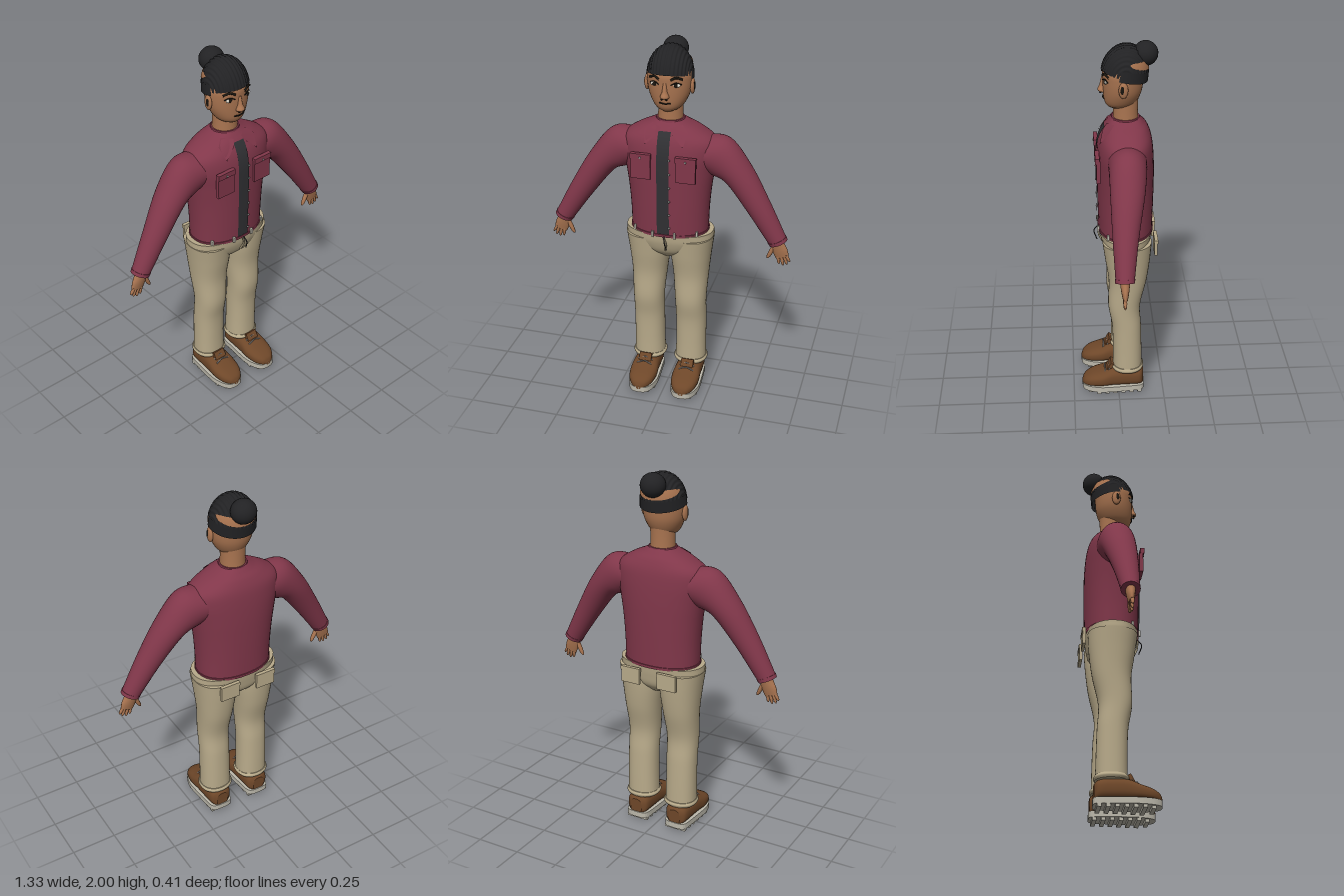
import * as THREE from 'three';

const mat = (name, color) => {
  const m = new THREE.MeshStandardMaterial({ color, side: THREE.DoubleSide });
  m.name = name;
  return m;
};
const M = {
  jacket: mat('jacket red', 0x81374a), trousers: mat('trouser beige', 0xb8aa8a),
  skin: mat('skin', 0xa97450), shoe: mat('shoe brown', 0x6e4729), sole: mat('sole grey', 0xbcb8ab),
  cap: mat('cap black', 0x222224), shirt: mat('shirt charcoal', 0x303033),
  hair: mat('hair black', 0x19150f), eye: mat('eye white', 0xe2dccf), metal: mat('metal grey', 0x8e8b88),
};

// A section is [centre xyz, first half axis xyz, second half axis xyz]
const flat = (y, x0, x1, zf, zb) =>
  [(x0 + x1) / 2, y, (zf + zb) / 2, (x1 - x0) / 2, 0, 0, 0, 0, (zf - zb) / 2];
const round = (y, r, zf, zb) => flat(y, -r, r, zf, zb);

// Smoothly resample sections
function refine(sections, steps = 6) {
  const curves = [0, 3, 6].map(k => new THREE.CatmullRomCurve3(
    sections.map(s => new THREE.Vector3(s[k], s[k + 1], s[k + 2])), false, 'catmullrom', 0.5));
  const n = (sections.length - 1) * steps;
  return Array.from({ length: n + 1 }, (_, i) => curves.flatMap(c => c.getPoint(i / n).toArray()));
}
const power = (v, p) => Math.sign(v) * Math.abs(v) ** (2 / p);

// Closed skin through superelliptic sections
function loft(rings, p = 2, n = 36) {
  const pos = [], idx = [], V = (r, k) => new THREE.Vector3(r[k], r[k + 1], r[k + 2]);
  const addRing = r => {
    for (let i = 0; i < n; i++) {
      const a = i / n * Math.PI * 2, c = power(Math.cos(a), p), s = power(Math.sin(a), p);
      for (let k = 0; k < 3; k++) pos.push(r[k] + r[3 + k] * c + r[6 + k] * s);
    }
  };
  const last = rings.length - 1, mid = last >> 1;
  const dir = V(rings[mid + 1], 0).sub(V(rings[mid], 0));
  const flip = V(rings[mid], 3).cross(V(rings[mid], 6)).dot(dir) > 0;
  const tri = (a, b, c) => flip ? idx.push(a, c, b) : idx.push(a, b, c);
  rings.forEach(addRing);
  for (let j = 0; j < last; j++) for (let i = 0; i < n; i++) {
    const a = j * n + i, b = j * n + (i + 1) % n;
    tri(a, a + n, b); tri(b, a + n, b + n);
  }
  for (const end of [0, last]) {
    const base = pos.length / 3;
    addRing(rings[end]);
    pos.push(...rings[end].slice(0, 3));
    for (let i = 0; i < n; i++) {
      const a = base + i, b = base + (i + 1) % n;
      end ? tri(a, base + n, b) : tri(a, b, base + n);
    }
  }
  const g = new THREE.BufferGeometry();
  g.setAttribute('position', new THREE.Float32BufferAttribute(pos, 3));
  g.setIndex(idx);
  g.computeVertexNormals();
  return g;
}

// Front depth of a lofted body at x, y
function frontZ(rings, x, y, p) {
  let i = 0;
  while (i < rings.length - 2 && rings[i + 1][1] < y) i++;
  const a = rings[i], b = rings[i + 1], t = THREE.MathUtils.clamp((y - a[1]) / (b[1] - a[1]), 0, 1);
  const at = k => a[k] + (b[k] - a[k]) * t;
  return at(2) + at(8) * Math.max(0, 1 - Math.abs(x / at(3)) ** p) ** (1 / p);
}
function warp(g, fn) {
  const q = g.attributes.position, v = new THREE.Vector3();
  for (let i = 0; i < q.count; i++) { v.fromBufferAttribute(q, i); fn(v); q.setXYZ(i, v.x, v.y, v.z); }
  g.computeVertexNormals();
  return g;
}
const shapeOf = pts => new THREE.Shape(pts.map(p => new THREE.Vector2(...p)));

export function createModel() {
  const root = new THREE.Group();
  const add = (name, g, m, x = 0, y = 0, z = 0) => {
    const mesh = new THREE.Mesh(g, m);
    mesh.name = name; mesh.position.set(x, y, z);
    root.add(mesh);
    return mesh;
  };
  const ball = (name, m, x, y, z, rx, ry, rz) =>
    add(name, new THREE.SphereGeometry(1, 24, 16), m, x, y, z).scale.set(rx, ry, rz);
  const box = (name, m, x, y, z, w, h, d) => add(name, new THREE.BoxGeometry(w, h, d), m, x, y, z);
  const tube = (name, m, pts, r) => add(name, new THREE.TubeGeometry(
    new THREE.CatmullRomCurve3(pts.map(p => new THREE.Vector3(...p))), 16, r, 8), m);

  // Jacket body
  const torso = refine([
    round(0.975, 0.208, 0.1, -0.185), round(1.1, 0.212, 0.104, -0.188), round(1.22, 0.222, 0.106, -0.19),
    round(1.33, 0.238, 0.107, -0.19), round(1.43, 0.256, 0.105, -0.185), round(1.5, 0.245, 0.092, -0.175),
    round(1.55, 0.175, 0.068, -0.155), round(1.58, 0.11, 0.045, -0.132), round(1.6, 0.07, 0.028, -0.115)]);
  const P = 2.2, onTorso = off => v => { v.z += frontZ(torso, v.x, v.y, P) + off; };
  add('jacketBody', loft(torso, P, 48), M.jacket);
  add('jacketHem', loft([round(0.97, 0.212, 0.104, -0.189), round(0.985, 0.213, 0.105, -0.19)], P, 48), M.jacket);
  add('neckband', loft([round(1.588, 0.078, 0.034, -0.12), round(1.605, 0.073, 0.03, -0.115)]), M.jacket);
  add('shirtStrip', warp(new THREE.PlaneGeometry(0.066, 0.57, 4, 30).translate(-0.002, 1.275, 0), onTorso(0.006)), M.shirt);
  for (let i = 0; i < 6; i++) {
    const y = 1.03 + i * 0.078;
    ball('button', M.metal, 0.032, y, frontZ(torso, 0.032, y, P) + 0.007, 0.006, 0.006, 0.005);
  }
  for (const x of [-0.17, -0.06, 0.06, 0.17])
    box('beltLoop', M.sole, x, 0.985, frontZ(torso, x, 0.985, P) + 0.008, 0.012, 0.032, 0.012);

  // Trouser seat, fly and drawstring
  add('trouserSeat', loft(refine([
    round(0.815, 0.05, 0.02, -0.12), round(0.86, 0.17, 0.066, -0.16),
    round(0.92, 0.232, 0.09, -0.175), round(0.975, 0.238, 0.098, -0.183)]), 2.3), M.trousers);
  tube('fly', M.trousers, [[0, 0.97, 0.102], [0.012, 0.93, 0.1], [0.004, 0.88, 0.08]], 0.005);
  tube('drawstring', M.shirt, [[0.005, 0.975, 0.105], [0.01, 0.95, 0.125], [0.018, 0.9, 0.11]], 0.003);

  // Neck and head
  add('neck', loft([round(1.57, 0.068, 0.024, -0.11), round(1.64, 0.064, 0.02, -0.105), round(1.72, 0.066, 0.02, -0.108)]), M.skin);
  const head = refine([
    round(1.655, 0.03, 0.035, -0.05), round(1.672, 0.062, 0.056, -0.08), round(1.7, 0.085, 0.068, -0.105),
    round(1.75, 0.107, 0.073, -0.125), round(1.81, 0.117, 0.075, -0.132), round(1.86, 0.115, 0.073, -0.132),
    round(1.92, 0.09, 0.04, -0.11), round(1.95, 0.04, 0, -0.07)]);
  add('head', loft(head), M.skin);
  const face = (x, y) => frontZ(head, x, y, 2);
  add('nose', loft(refine([
    round(1.735, 0.014, 0.075, 0.055), round(1.748, 0.024, 0.1, 0.05),
    round(1.775, 0.014, 0.09, 0.055), round(1.82, 0.009, 0.079, 0.055)]), 2, 16), M.skin);
  tube('mouth', M.hair, [-0.03, -0.012, 0, 0.012, 0.03].map(x => [x, 1.71 + Math.abs(x) * 0.1, face(x, 1.71) + 0.002]), 0.004);

  // Ribbed cap with back opening and hair bun
  const cap = new THREE.Group();
  cap.name = 'cap';
  cap.position.set(0, 1.838, -0.036);
  cap.rotation.x = -0.2;
  cap.scale.set(0.117, 0.148, 0.118);
  root.add(cap);
  const dome = warp(new THREE.SphereGeometry(1, 28, 144, Math.PI / 2, Math.PI).rotateZ(Math.PI / 2),
    v => v.multiplyScalar(1.01 + 0.016 * Math.cos(36 * Math.acos(THREE.MathUtils.clamp(v.x, -1, 1)))));
  const opening = warp(new THREE.PlaneGeometry(2, 2, 32, 8), v => {
    const a = v.x * 1.5, e = 0.5 + v.y * 0.17 * Math.sqrt(Math.max(0, 1 - v.x * v.x));
    v.set(-Math.sin(a) * Math.cos(e), Math.sin(e), -Math.cos(a) * Math.cos(e)).multiplyScalar(1.045);
  });
  const band = new THREE.CylinderGeometry(1.0, 1.05, 0.36, 40, 1, true, Math.PI * 0.42, Math.PI * 1.16).translate(0, 0.08, 0);
  [['capDome', dome, M.cap], ['capOpening', opening, M.skin], ['capBand', band, M.cap]].forEach(([name, g, m]) => {
    const mesh = new THREE.Mesh(g, m);
    mesh.name = name;
    cap.add(mesh);
  });
  ball('hairBun', M.cap, 0, 1.937, -0.142, 0.066, 0.063, 0.063);

  for (const s of [-1, 1]) {
    // Eyes, brows, nostrils and ears
    const ex = s * 0.056;
    ball('eye', M.eye, ex, 1.81, face(ex, 1.81) - 0.002, 0.022, 0.011, 0.008);
    ball('iris', M.hair, ex, 1.81, face(ex, 1.81) + 0.004, 0.01, 0.01, 0.005);
    tube('upperLid', M.hair, [-0.025, 0, 0.025].map((d, i) => [ex + d, i === 1 ? 1.823 : 1.812, face(ex + d, 1.815) + 0.003]), 0.003);
    tube('brow', M.hair, [[0.03, 1.838], [0.055, 1.85], [0.085, 1.838]].map(([x, y]) => [s * x, y, face(x, y) + 0.002]), 0.006);
    ball('nostril', M.hair, s * 0.012, 1.738, 0.085, 0.006, 0.004, 0.006);
    ball('ear', M.skin, s * 0.119, 1.785, -0.025, 0.013, 0.042, 0.024);
    ball('earHollow', M.hair, s * 0.129, 1.788, -0.02, 0.004, 0.022, 0.01);

    // Collar flap and chest pocket
    const collar = new THREE.ShapeGeometry(shapeOf([[0.025, 1.575], [0.04, 1.545], [0.1, 1.49], [0.115, 1.555], [0.08, 1.585]].map(([x, y]) => [s * x, y])));
    add('collar', warp(collar, onTorso(0.008)), M.jacket);
    const px = s * 0.12;
    box('chestPocket', M.jacket, px, 1.365, 0.104, 0.104, 0.125, 0.02);
    box('pocketFlap', M.jacket, px, 1.428, 0.109, 0.11, 0.03, 0.022);
    ball('pocketButton', M.metal, px, 1.422, 0.121, 0.006, 0.006, 0.004);

    // Sleeve and cuff
    const armRing = (x, y, z, ux, uy, d) => [s * x, y, z, s * ux, uy, 0, 0, 0, d];
    add('sleeve', loft(refine([
      armRing(0.17, 1.43, -0.042, 0.005, 0.09, 0.1), armRing(0.272, 1.41, -0.04, 0.04, 0.104, 0.095),
      armRing(0.367, 1.325, -0.033, 0.063, 0.05, 0.086), armRing(0.48, 1.16, -0.018, 0.057, 0.032, 0.066),
      armRing(0.592, 0.975, -0.008, 0.045, 0.021, 0.047)])), M.jacket);
    add('cuff', loft([armRing(0.586, 0.985, -0.008, 0.048, 0.022, 0.05), armRing(0.596, 0.968, -0.008, 0.046, 0.021, 0.049)]), M.jacket);

    // Hand
    add('palm', loft(refine([
      armRing(0.585, 0.99, -0.008, 0.028, 0.012, 0.028), armRing(0.593, 0.955, -0.008, 0.034, 0.012, 0.024),
      armRing(0.607, 0.92, -0.008, 0.038, 0.012, 0.019), armRing(0.62, 0.885, -0.008, 0.034, 0.012, 0.012)]), 2, 20), M.skin);
    const finger = (x0, y0, x1, y1, r) => add('finger', loft([0, 0.5, 0.85, 1].map((t, i) =>
      armRing(x0 + (x1 - x0) * t, y0 + (y1 - y0) * t, -0.006, [r, r, r * 0.8, r * 0.3][i], 0, [r, r, r * 0.8, r * 0.3][i])), 2, 10), M.skin);
    finger(0.575, 0.945, 0.541, 0.868, 0.013);
    [[0.596, 0.604, 0.842], [0.612, 0.626, 0.837], [0.628, 0.646, 0.845], [0.64, 0.66, 0.862]]
      .forEach(([a, b, y]) => finger(a, 0.9, b, y, 0.0095));

    // Trouser leg, hem and back pocket
    const legRing = (y, a, b, zf, zb) => flat(y, Math.min(s * a, s * b), Math.max(s * a, s * b), zf, zb);
    add('trouserLeg', loft(refine([
      legRing(0.155, 0.033, 0.205, 0.03, -0.13), legRing(0.28, 0.036, 0.204, 0.03, -0.128),
      legRing(0.42, 0.036, 0.204, 0.035, -0.124), legRing(0.55, 0.033, 0.205, 0.055, -0.118),
      legRing(0.7, 0.02, 0.213, 0.052, -0.15), legRing(0.83, 0.004, 0.226, 0.07, -0.168),
      legRing(0.94, 0.004, 0.24, 0.085, -0.176)]), 2.2), M.trousers);
    add('trouserHem', loft(refine([legRing(0.143, 0.032, 0.208, 0.034, -0.134), legRing(0.157, 0.024, 0.214, 0.04, -0.14),
      legRing(0.17, 0.032, 0.208, 0.034, -0.134)]), 2.2), M.trousers);
    box('backPocket', M.trousers, s * 0.108, 0.915, -0.197, 0.11, 0.09, 0.016);
    box('backPocketFlap', M.trousers, s * 0.108, 0.95, -0.199, 0.114, 0.02, 0.018);

    // Shoe: sections from heel to toe
    const fx = s * 0.122;
    const shoeRing = (z, w, top) => [fx, (top + 0.035) / 2, z, w, 0, 0, 0, (top - 0.035) / 2, 0];
    add('shoe', loft(refine([
      shoeRing(-0.138, 0.035, 0.125), shoeRing(-0.115, 0.062, 0.145), shoeRing(-0.05, 0.069, 0.155),
      shoeRing(0.03, 0.073, 0.152), shoeRing(0.09, 0.077, 0.128), shoeRing(0.15, 0.066, 0.108),
      shoeRing(0.188, 0.04, 0.085), shoeRing(0.202, 0.012, 0.06)]), 2.6), M.shoe);
    const half = [[0.03, -0.142], [0.062, -0.125], [0.072, -0.05], [0.08, 0.06], [0.078, 0.11], [0.062, 0.165], [0.03, 0.198]];
    const outline = new THREE.Shape();
    outline.setFromPoints(new THREE.SplineCurve([...half, ...half.map(([x, z]) => [-x, z]).reverse(), half[0]]
      .map(([x, z]) => new THREE.Vector2(x, -z))).getPoints(56));
    add('sole', new THREE.ExtrudeGeometry(outline, { depth: 0.032, bevelEnabled: false }).rotateX(-Math.PI / 2), M.sole, fx, 0.016, 0);
    for (let i = 0; i < 7; i++)
      box('tread', M.sole, fx, 0.01, -0.115 + i * 0.045, i === 6 ? 0.1 : 0.125 + 0.004 * i, 0.02, 0.022);
    // Tongue and laces
    box('tongue', M.shoe, fx, 0.155, 0.045, 0.07, 0.045, 0.02).rotation.x = -0.5;
    for (let i = 0; i < 2; i++) tube('lace', M.metal, [-0.042, 0, 0.042].map((d, k) =>
      [fx + d, 0.142 + (k === 1 ? 0.017 : 0) - i * 0.014, 0.052 + i * 0.024]), 0.004);
  }
  return root;
}
